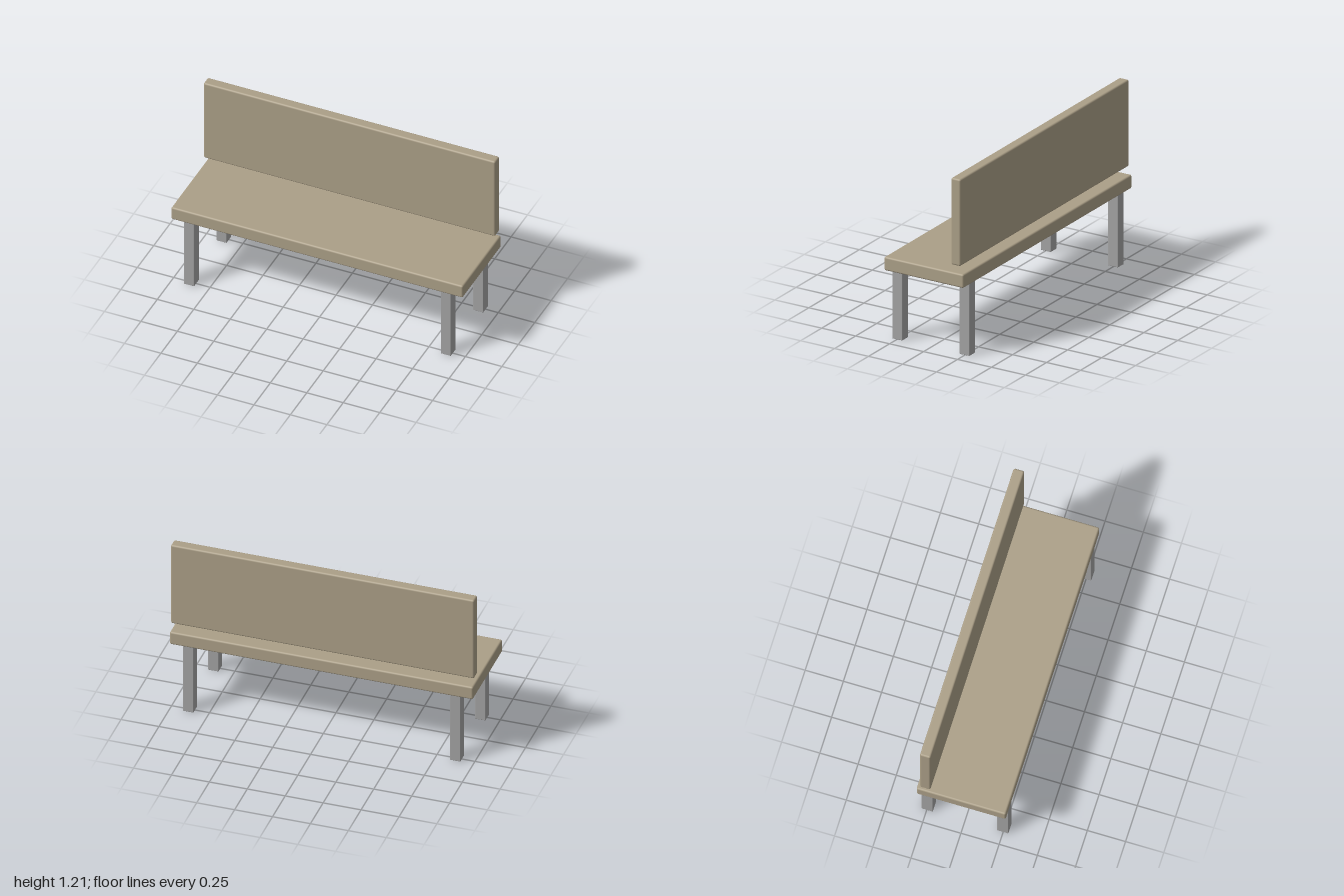
import * as THREE from 'three';
import { RoundedBoxGeometry } from 'three/addons/geometries/RoundedBoxGeometry.js';

export function createModel() {
  const bench = new THREE.Group();
  bench.name = 'bench';

  const wood = new THREE.MeshStandardMaterial({ color: 0xab9f87 });
  wood.name = 'tan wood';
  const metal = new THREE.MeshStandardMaterial({ color: 0xa3a3a3 });
  metal.name = 'grey metal';

  // Softly rounded slab given by its size and centre
  function slab(name, size, centre, radius, material) {
    const mesh = new THREE.Mesh(new RoundedBoxGeometry(...size, 3, radius), material);
    mesh.name = name;
    mesh.position.set(...centre);
    bench.add(mesh);
  }

  // Seat and floating backrest
  slab('seat', [2, 0.092, 0.584], [0, 0.531, 0], 0.012, wood);
  slab('backrest', [2, 0.584, 0.07], [0, 0.92, -0.235], 0.012, wood);

  // Four square legs, tucked slightly into the seat
  for (const x of [-1, 1]) {
    for (const z of [-1, 1]) {
      const name = (z > 0 ? 'front' : 'back') + (x > 0 ? 'Left' : 'Right') + 'Leg';
      slab(name, [0.07, 0.495, 0.074], [x * 0.88, 0.2475, z * 0.247], 0.004, metal);
    }
  }

  return bench;
}
